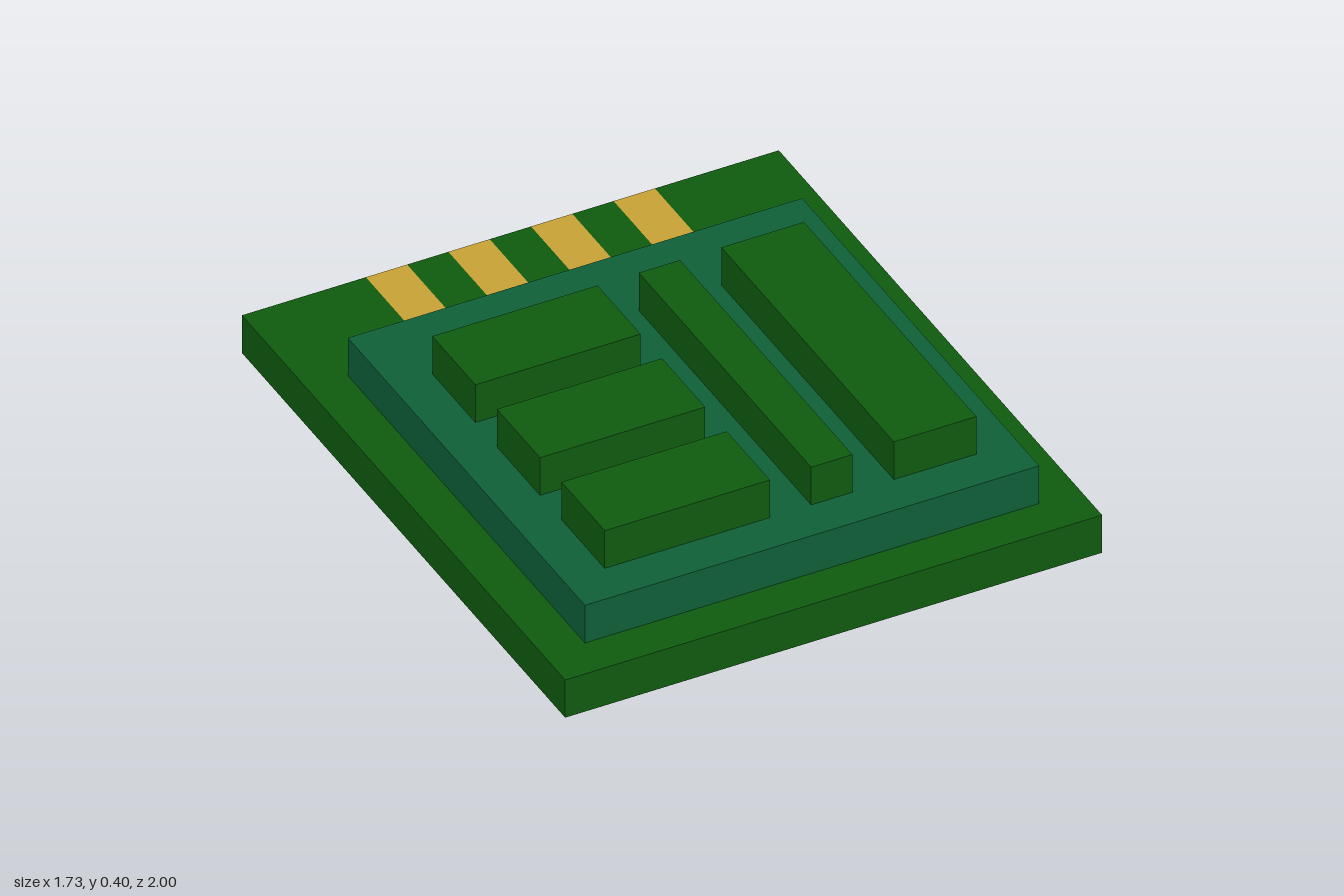
import * as THREE from 'three';

const U = 1 / 15; // layout grid step

export function createModel() {
  const model = new THREE.Group();
  model.name = 'circuitBoard';

  const mat = (name, color) => {
    const m = new THREE.MeshStandardMaterial({ color });
    m.name = name;
    return m;
  };
  const green = mat('board green', 0x0f5a0f);
  const teal = mat('teal', 0x0e5f38);
  const gold = mat('contact gold', 0xc8a236);

  // Box from its limits in grid steps
  const block = (name, material, [x0, x1], [y0, y1], [z0, z1]) => {
    const geo = new THREE.BoxGeometry((x1 - x0) * U, (y1 - y0) * U, (z1 - z0) * U);
    const mesh = new THREE.Mesh(geo, material);
    mesh.name = name;
    mesh.position.set((x0 + x1) / 2 * U, (y0 + y1) / 2 * U, (z0 + z1) / 2 * U);
    model.add(mesh);
  };

  // Main board
  block('board', green, [-13, 13], [0, 2], [-9, 15]);

  // Back edge: board pieces alternating with gold contacts
  const edges = [-13, -7, -5, -3, -1, 1, 3, 5, 7, 13];
  for (let i = 0; i < edges.length - 1; i++) {
    const isContact = i % 2 === 1;
    block(isContact ? 'contact' : 'boardEdge', isContact ? gold : green,
      [edges[i], edges[i + 1]], [0, 2], [-15, -9]);
  }

  // Raised platform
  block('platform', teal, [-11, 11], [2, 4], [-9, 13]);

  // Chips on the platform
  for (const z of [-5, 1, 7]) block('smallChip', green, [-9, -1], [4, 6], [z, z + 4]);
  block('narrowChip', green, [1, 3], [4, 6], [-5, 11]);
  block('longChip', green, [5, 9], [4, 6], [-5, 11]);

  return model;
}
